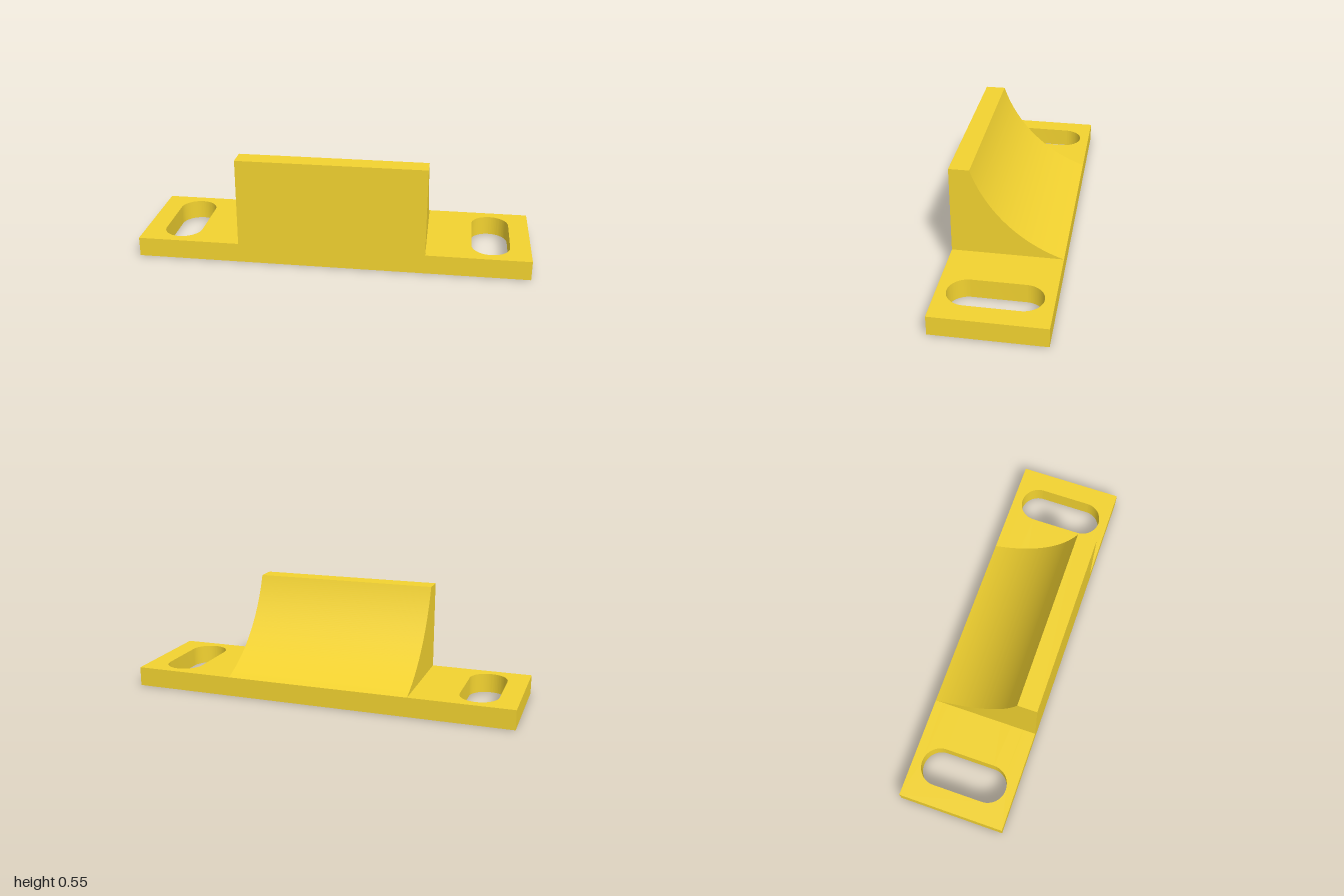
import * as THREE from 'three';
import { toCreasedNormals } from 'three/addons/utils/BufferGeometryUtils.js';

const HALF_DEPTH = 0.277, PLATE = 0.1, TOP = 0.553, WALL_HALF = 0.475;

// Extrude a shape, keeping curves smooth and edges sharp
function extrude(shape, depth) {
  const geometry = new THREE.ExtrudeGeometry(shape, { depth, bevelEnabled: false, curveSegments: 32 });
  return toCreasedNormals(geometry, 0.4);
}

// Rounded mounting slot, running front to back
function slot(x) {
  const r = 0.097, straight = 0.131;
  const path = new THREE.Path();
  path.absarc(x, straight, r, 0, Math.PI, false);
  path.absarc(x, -straight, r, Math.PI, Math.PI * 2, false);
  path.closePath();
  return path;
}

export function createModel() {
  const group = new THREE.Group();
  group.name = 'cradleBracket';
  const material = new THREE.MeshStandardMaterial({ color: 0xf2d230 });

  // Base plate with a slot at each end
  const plate = new THREE.Shape([
    new THREE.Vector2(-1, -HALF_DEPTH), new THREE.Vector2(1, -HALF_DEPTH),
    new THREE.Vector2(1, HALF_DEPTH), new THREE.Vector2(-1, HALF_DEPTH),
  ]);
  for (const side of [-1, 1]) plate.holes.push(slot(side * 0.8));
  const base = new THREE.Mesh(extrude(plate, PLATE).rotateX(-Math.PI / 2), material);
  base.name = 'basePlate';

  // Upright block with a concave back, profile drawn from the side (x = towards the back)
  const cx = 0.507, cy = 0.784, topX = -0.177;
  const radius = Math.hypot(HALF_DEPTH - cx, PLATE - cy);
  const profile = new THREE.Shape();
  profile.moveTo(-HALF_DEPTH, PLATE);
  profile.lineTo(HALF_DEPTH, PLATE);
  profile.absarc(cx, cy, radius,
    Math.atan2(PLATE - cy, HALF_DEPTH - cx), Math.atan2(TOP - cy, topX - cx), true);
  profile.lineTo(-HALF_DEPTH, TOP);
  profile.closePath();
  const block = new THREE.Mesh(
    extrude(profile, WALL_HALF * 2).translate(0, 0, -WALL_HALF).rotateY(Math.PI / 2), material);
  block.name = 'curvedBlock';

  group.add(base, block);
  return group;
}
